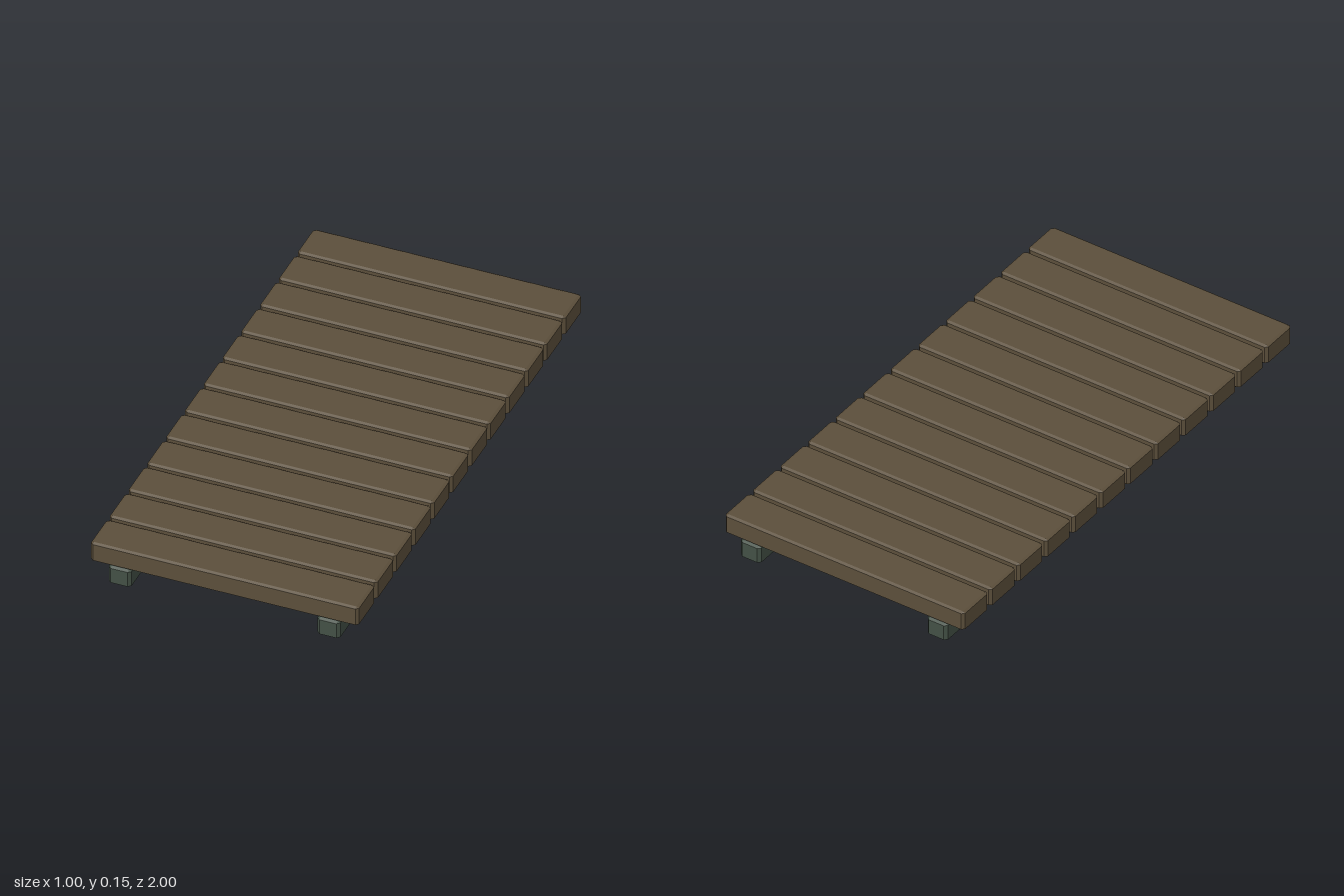
import * as THREE from 'three';
import { ConvexGeometry } from 'three/addons/geometries/ConvexGeometry.js';

// Box with chamfered edges; b holds the chamfer inset along x, y and z
function chamferedBox(w, h, d, b) {
  const points = [];
  for (const sx of [-1, 1]) for (const sy of [-1, 1]) for (const sz of [-1, 1]) {
    const s = [sx, sy, sz];
    const half = [w / 2, h / 2, d / 2];
    // one point per face meeting at this corner
    for (let face = 0; face < 3; face++) {
      points.push(new THREE.Vector3(...half.map((v, i) => s[i] * (i === face ? v : v - b[i]))));
    }
  }
  return new ConvexGeometry(points);
}

export function createModel() {
  const model = new THREE.Group();
  model.name = 'slattedPlatform';

  const plankMaterial = new THREE.MeshStandardMaterial({ color: 0x5c4f3b, flatShading: true });
  const railMaterial = new THREE.MeshStandardMaterial({ color: 0x435045, flatShading: true });

  // Two long rails on the ground
  const railGeometry = chamferedBox(0.085, 0.072, 2, [0.011, 0.006, 0.011]);
  for (const side of [-1, 1]) {
    const rail = new THREE.Mesh(railGeometry, railMaterial);
    rail.name = side > 0 ? 'leftRail' : 'rightRail';
    rail.position.set(side * 0.388, 0.036, 0);
    model.add(rail);
  }

  // Twelve cross planks with narrow gaps
  const count = 12;
  const pitch = 0.167;
  const plankGeometry = chamferedBox(0.996, 0.077, 0.152, [0.01, 0.005, 0.01]);
  for (let i = 0; i < count; i++) {
    const plank = new THREE.Mesh(plankGeometry, plankMaterial);
    plank.name = `plank${i + 1}`;
    plank.position.set(0, 0.1105, (i - (count - 1) / 2) * pitch);
    model.add(plank);
  }
  return model;
}
